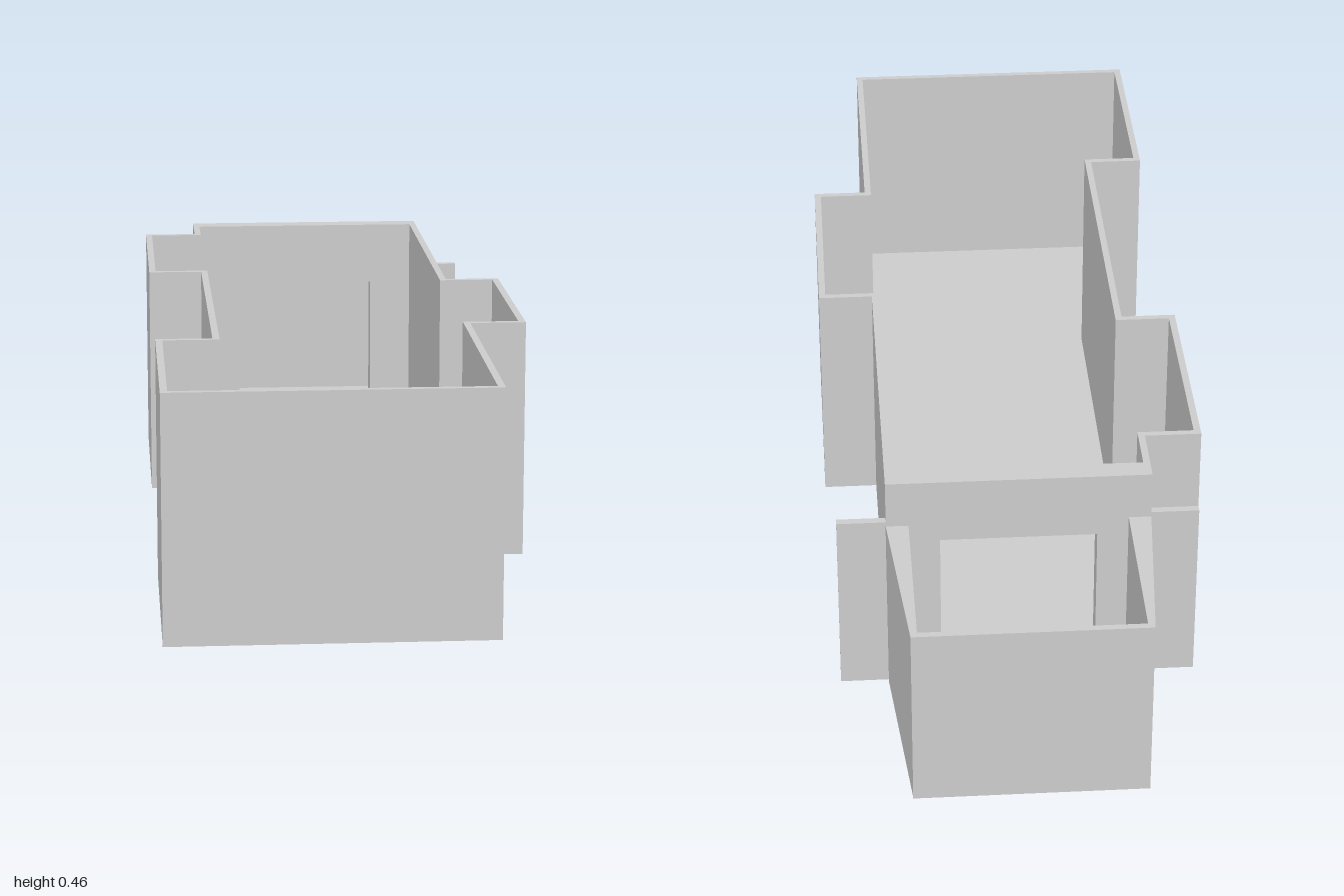
import * as THREE from 'three';

const FLOOR = 0.003;    // slab thickness
const HALL_H = 0.456;   // top of the hall walls
const PORCH_H = 0.363;  // top of the porch walls and fins
const T = 0.013;        // wall thickness
const BACK = -0.656;    // outer face of the doorway wall
const BACK_IN = -0.614; // inner face of the doorway wall

const material = new THREE.MeshStandardMaterial({ color: 0xcccccc, flatShading: true });

function addMesh(parent, name, geometry) {
  const mesh = new THREE.Mesh(geometry, material);
  mesh.name = name;
  parent.add(mesh);
  return mesh;
}

// Raises a plan outline of [x, z] points from y0 to y1
function raise(points, y0, y1) {
  const shape = new THREE.Shape(points.map(([x, z]) => new THREE.Vector2(x, -z)));
  const geometry = new THREE.ExtrudeGeometry(shape, { depth: y1 - y0, bevelEnabled: false });
  return geometry.rotateX(-Math.PI / 2).translate(0, y0, 0);
}

// Hall outline, inset by t, running from the back left to the back right
function hallOutline(t, back) {
  const side = 0.246 - t, bay = 0.352 - t;
  return [
    [-side, back],
    [-side, -0.525 + t], [-bay, -0.525 + t], [-bay, -0.09 - t], [-side, -0.09 - t],
    [-side, 0.56 + t], [-bay, 0.56 + t], [-bay, 1 - t],
    [side, 1 - t], [side, 0.457 - t],
    [bay, 0.457 - t], [bay, 0.022 + t], [side, 0.022 + t],
    [side, back],
  ];
}

export function createModel() {
  const model = new THREE.Group();
  model.name = 'roofless building';

  // Floors
  addMesh(model, 'hallFloor', raise(hallOutline(0, BACK), 0, FLOOR));
  addMesh(model, 'porchFloor',
    raise([[-0.216, -1], [-0.216, BACK], [0.216, BACK], [0.216, -1]], 0, FLOOR));

  // Hall walls with the three bays, open towards the doorway wall
  const walls = [...hallOutline(0, BACK_IN), ...hallOutline(T, BACK_IN).reverse()];
  addMesh(model, 'hallWalls', raise(walls, FLOOR, HALL_H));

  // Thicker wall with a doorway
  const door = 0.146, doorTop = 0.328;
  const doorway = new THREE.Shape([
    [-0.246, FLOOR], [-door, FLOOR], [-door, doorTop], [door, doorTop],
    [door, FLOOR], [0.246, FLOOR], [0.246, HALL_H], [-0.246, HALL_H],
  ].map(([x, y]) => new THREE.Vector2(x, y)));
  addMesh(model, 'doorwayWall',
    new THREE.ExtrudeGeometry(doorway, { depth: BACK_IN - BACK, bevelEnabled: false }))
    .position.z = BACK;

  // Porch walls: tapered outside, straight inside
  addMesh(model, 'porchWalls', raise([
    [-0.246, BACK], [-0.204, BACK], [-0.204, -1 + T], [0.204, -1 + T],
    [0.204, BACK], [0.246, BACK], [0.216, -1], [-0.216, -1],
  ], FLOOR, PORCH_H));

  // Thin fins on both sides of the doorway wall
  for (const s of [-1, 1]) {
    const fin = addMesh(model, s > 0 ? 'leftFin' : 'rightFin',
      new THREE.BoxGeometry(0.091, PORCH_H, 0.015));
    fin.position.set(s * 0.2915, PORCH_H / 2, -0.635);
  }

  return model;
}
